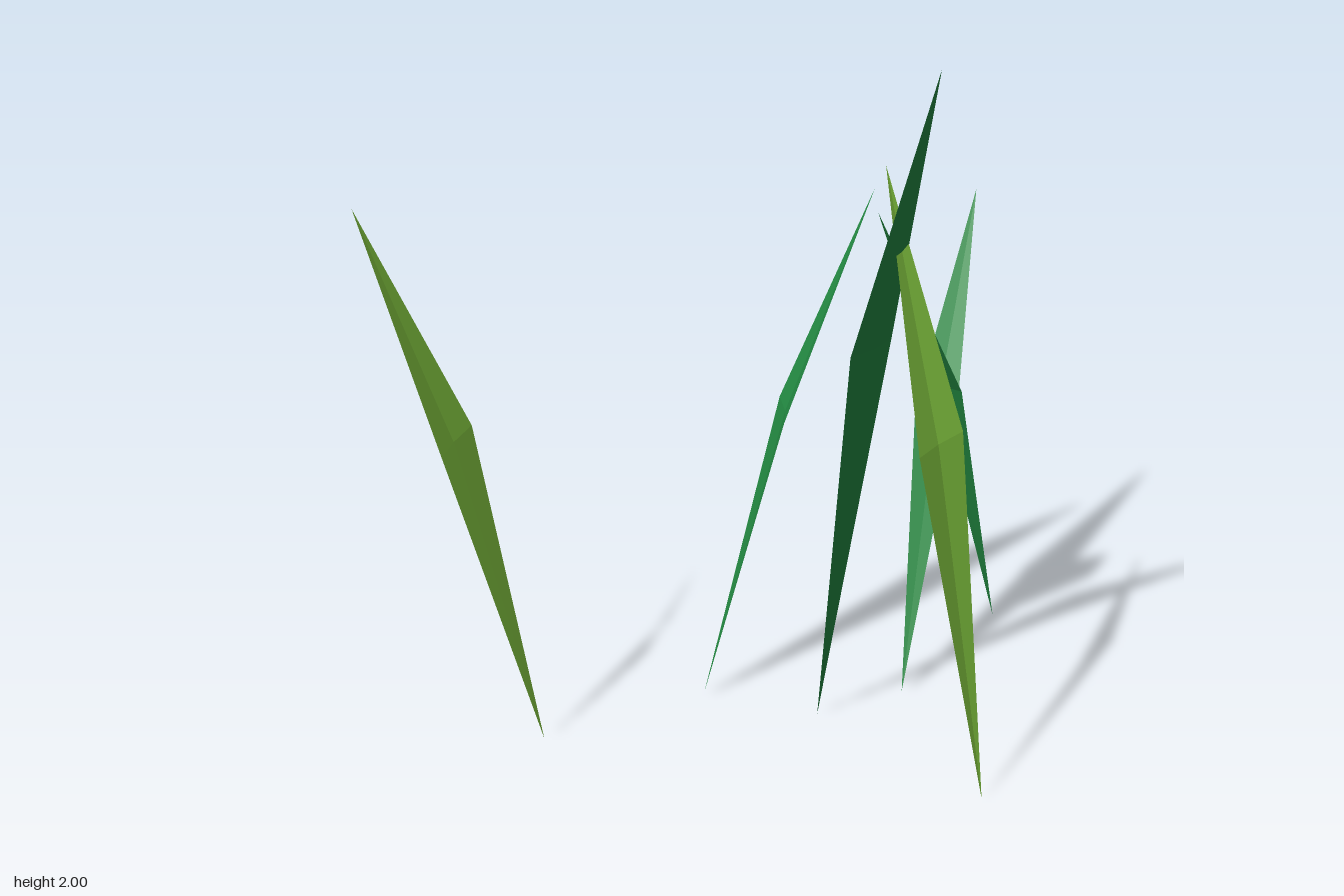
import * as THREE from 'three';

// A bent, slightly creased leaf: base, two side corners and tip around a sunken centre.
function makeBlade(name, material, base, sideA, sideB, tip) {
  const [b, p, q, t] = [base, sideA, sideB, tip].map((v) => new THREE.Vector3(...v));
  const across = q.clone().sub(p);
  const normal = across.clone().cross(t.clone().sub(b)).normalize();
  if (normal.y < 0) normal.negate();
  // crease falls towards the underside
  const c = p.clone().lerp(q, 0.5).addScaledVector(normal, -0.01);
  const points = [];
  for (const [u, v] of [[b, q], [q, t], [t, p], [p, b]]) points.push(c, u, v);
  const geometry = new THREE.BufferGeometry().setFromPoints(points);
  geometry.computeVertexNormals();
  const mesh = new THREE.Mesh(geometry, material);
  mesh.name = name;
  return mesh;
}

export function createModel() {
  const lime = new THREE.MeshStandardMaterial({ color: 0x8ad044, side: THREE.DoubleSide, flatShading: true });
  lime.name = 'lime green';
  const green = new THREE.MeshStandardMaterial({ color: 0x238a42, side: THREE.DoubleSide, flatShading: true });
  green.name = 'deep green';

  // name, colour, base, side corner, side corner, tip
  const blades = [
    ['outerRightBlade', lime, [-0.415, 0.01, 0.585], [-0.57, 0.925, 0.785], [-0.61, 0.93, 0.58], [-0.8, 1.585, 0.795]],
    ['outerLeftBlade', lime, [0.795, 0.01, 0.315], [0.6, 0.99, 0.34], [0.63, 0.985, 0.127], [0.4, 1.69, 0.14]],
    ['tallBlade', green, [0.2, 0, 0.105], [0.37, 1.2, 0.275], [0.39, 1.18, 0.063], [0.595, 2, 0.25]],
    ['centreBlade', green, [-0.135, 0.01, 0.163], [0.04, 0.835, 0], [-0.05, 0.84, -0.15], [0.145, 1.435, -0.352]],
    ['backLeaningBlade', green, [0.368, 0.01, -0.107], [0.262, 0.78, -0.4], [0.382, 0.77, -0.425], [0.267, 1.312, -0.797]],
    ['forwardLeaningBlade', green, [0.425, 0.01, -0.652], [0.33, 0.89, -0.36], [0.442, 0.89, -0.31], [0.333, 1.52, 0.038]],
  ];
  const group = new THREE.Group();
  group.name = 'grassTuft';
  for (const blade of blades) group.add(makeBlade(...blade));
  return group;
}
